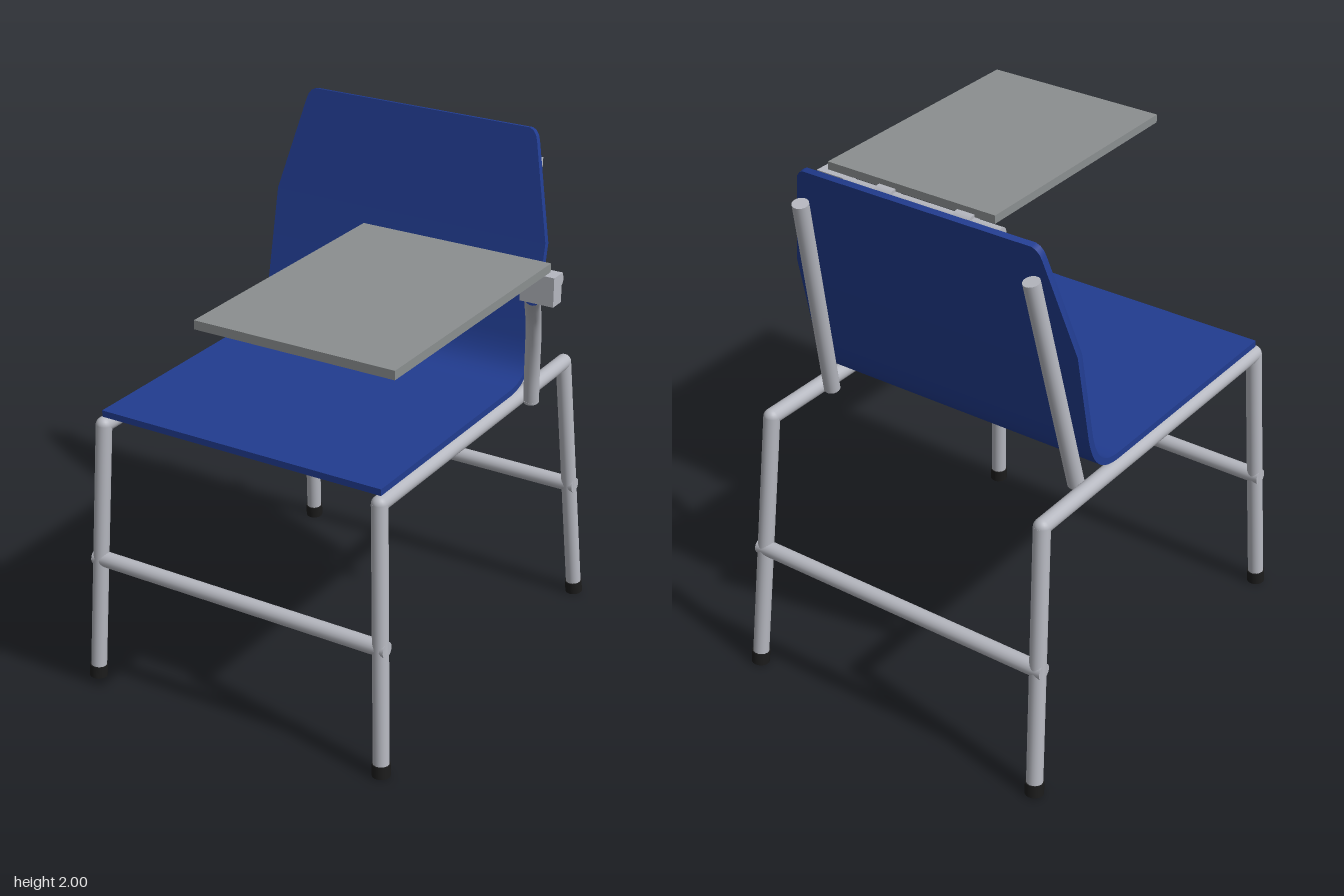
import * as THREE from 'three';
import { toCreasedNormals } from 'three/addons/utils/BufferGeometryUtils.js';

const CX = -0.105; // middle of the chair frame, offset to balance the tablet
const mat = (name, color) => {
  const m = new THREE.MeshStandardMaterial({ color });
  m.name = name;
  return m;
};

export function createModel() {
  const metal = mat('grey metal', 0xb6b8c0);
  const blue = mat('blue shell', 0x213c90);
  const board = mat('grey board', 0x8b8f90);
  const rubber = mat('black rubber', 0x1c1c1c);
  const model = new THREE.Group();
  const V = (x, y, z) => new THREE.Vector3(x, y, z);

  const add = (name, geometry, material, parent = model) => {
    const mesh = new THREE.Mesh(geometry, material);
    mesh.name = name;
    parent.add(mesh);
    return mesh;
  };
  // Straight round bar between two points
  const bar = (name, a, b, r, material = metal, parent = model) => {
    const mesh = add(name, new THREE.CylinderGeometry(r, r, a.distanceTo(b), 20), material, parent);
    mesh.position.copy(a).lerp(b, 0.5);
    mesh.quaternion.setFromUnitVectors(V(0, 1, 0), b.clone().sub(a).normalize());
    return mesh;
  };
  const box = (name, x0, x1, y0, y1, z0, z1, material) =>
    add(name, new THREE.BoxGeometry(x1 - x0, y1 - y0, z1 - z0), material)
      .position.set((x0 + x1) / 2, (y0 + y1) / 2, (z0 + z1) / 2);

  // Bent seat and back shell: side profile swept with a varying half width
  const path = new THREE.CurvePath();
  path.add(new THREE.LineCurve3(V(0, 1.0925, 0.59), V(0, 1.0925, -0.33)));
  path.add(new THREE.CubicBezierCurve3(V(0, 1.0925, -0.33), V(0, 1.0925, -0.44),
    V(0, 1.15, -0.482), V(0, 1.25, -0.508)));
  const rows = [{ p: V(0, 1.0925, 0.59), w: 0.585 }];
  for (let i = 0; i <= 14; i++) rows.push({ p: path.curves[1].getPoint(i / 14), w: 0.585 });
  const backOutline = [[1.6, 0.585], [1.955, 0.497], [1.975, 0.49], [1.99, 0.478], [1.998, 0.462]];
  for (const [y, w] of backOutline) {
    rows.push({ p: V(0, y, -0.508 - (y - 1.25) * 0.213), w });
  }
  const pos = [], idx = [];
  rows.forEach(({ p, w }, i) => {
    const t = rows[Math.min(i + 1, rows.length - 1)].p.clone()
      .sub(rows[Math.max(i - 1, 0)].p).normalize();
    if (i === 1) t.set(0, 0, -1);
    const n = V(0, -t.z, t.y).multiplyScalar(0.0125);
    for (const [sx, sn] of [[-1, 1], [1, 1], [1, -1], [-1, -1]]) {
      pos.push(CX + sx * w, p.y + sn * n.y, p.z + sn * n.z);
    }
    if (i) for (let k = 0; k < 4; k++) {
      const a = (i - 1) * 4 + k, b = (i - 1) * 4 + (k + 1) % 4;
      idx.push(a, b, b + 4, a, b + 4, a + 4);
    }
  });
  const e = (rows.length - 1) * 4;
  idx.push(0, 2, 1, 0, 3, 2, e, e + 1, e + 2, e, e + 2, e + 3);
  const shell = new THREE.BufferGeometry();
  shell.setAttribute('position', new THREE.Float32BufferAttribute(pos, 3));
  shell.setIndex(idx);
  add('seatShell', toCreasedNormals(shell, 0.5), blue);

  // Frame: legs, feet, side rails and back supports, mirrored left and right
  const R = 0.03;
  for (const s of [-1, 1]) {
    const side = new THREE.Group();
    side.name = s > 0 ? 'leftFrame' : 'rightFrame';
    model.add(side);
    const legs = [['front', 0.59, 0.645], ['back', -0.78, -0.88]];
    for (const [name, zTop, zFoot] of legs) {
      const top = V(CX + s * 0.58, 1.05, zTop);
      const foot = V(CX + s * 0.627, 0.004, zFoot);
      bar(name + 'Leg', foot.clone().lerp(top, 0.02), top, R, metal, side);
      bar(name + 'Foot', foot, foot.clone().lerp(top, 0.046), 0.034, rubber, side);
      add(name + 'Elbow', new THREE.SphereGeometry(R, 20, 14), metal, side).position.copy(top);
    }
    bar('sideRail', V(CX + s * 0.58, 1.05, 0.59), V(CX + s * 0.58, 1.05, -0.78), R, metal, side);
    bar('backSupport', V(CX + s * 0.53, 1.05, -0.508), V(CX + s * 0.47, 1.88, -0.69), R, metal, side);
  }

  // Cross bars between the legs
  bar('frontCrossBar', V(CX - 0.63, 0.505, 0.617), V(CX + 0.63, 0.505, 0.617), R);
  bar('backCrossBar', V(CX - 0.63, 0.505, -0.833), V(CX + 0.63, 0.505, -0.833), R);

  // Curved arm carrying the writing tablet
  const arm = new THREE.CatmullRomCurve3([
    V(0.53, 1.05, -0.405), V(0.54, 1.18, -0.382), V(0.56, 1.32, -0.342),
    V(0.582, 1.43, -0.292), V(0.612, 1.51, -0.222), V(0.66, 1.585, -0.125),
  ]);
  add('tabletArm', new THREE.TubeGeometry(arm, 32, 0.029, 16), metal);
  bar('armEnd', V(0.53, 1.045, -0.406), V(0.53, 1.055, -0.404), 0.029);
  box('hingeBlock', 0.625, 0.755, 1.58, 1.665, -0.15, -0.09, metal);
  box('hingeBlockTop', 0.635, 0.755, 1.66, 1.688, -0.155, -0.09, metal);

  // Tablet with its hinge bar and clamps
  bar('hingeBar', V(-0.065, 1.664, -0.138), V(0.755, 1.664, -0.138), 0.024);
  for (const x of [0.095, 0.445]) {
    bar('hingeClamp', V(x - 0.037, 1.664, -0.138), V(x + 0.037, 1.664, -0.138), 0.037);
  }
  box('tabletBoard', -0.03, 0.72, 1.69, 1.722, -0.132, 0.915, board);

  return model;
}
